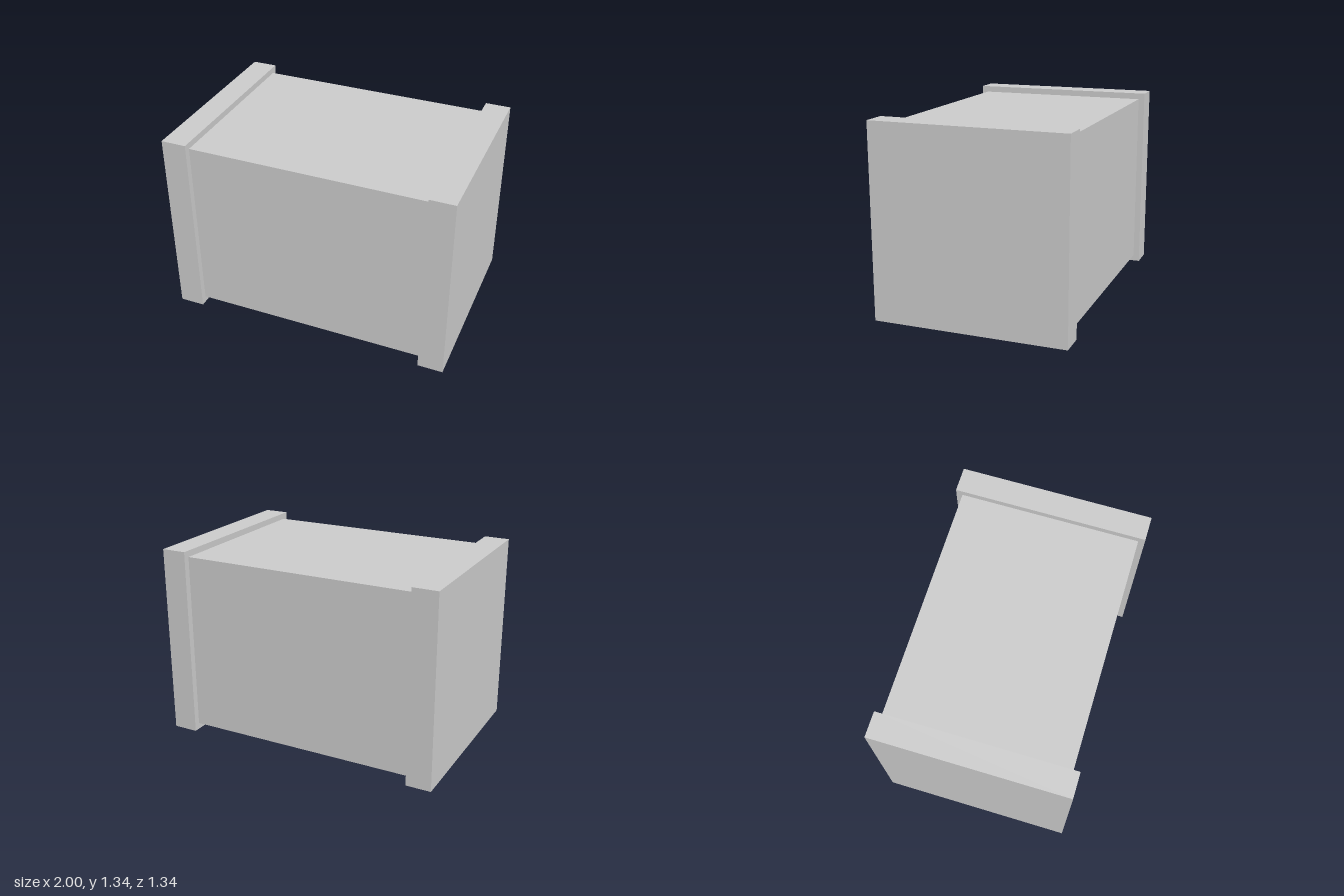
import * as THREE from 'three';

export function createModel() {
  const group = new THREE.Group();
  const material = new THREE.MeshStandardMaterial({ color: 0xcccccc, flatShading: true });
  const size = 1.336; // square end caps
  const capWidth = 0.175;
  const inset = 0.044; // body sits back from the cap edges

  const addBox = (name, w, s, x) => {
    const mesh = new THREE.Mesh(new THREE.BoxGeometry(w, s, s), material);
    mesh.name = name;
    mesh.position.set(x, size / 2, 0);
    group.add(mesh);
  };

  // Central block between the caps
  addBox('body', 2 - 2 * capWidth, size - 2 * inset, 0);

  // Wider cap at each end
  for (const side of [-1, 1]) {
    addBox(side > 0 ? 'leftEndCap' : 'rightEndCap', capWidth, size, side * (1 - capWidth / 2));
  }

  return group;
}
